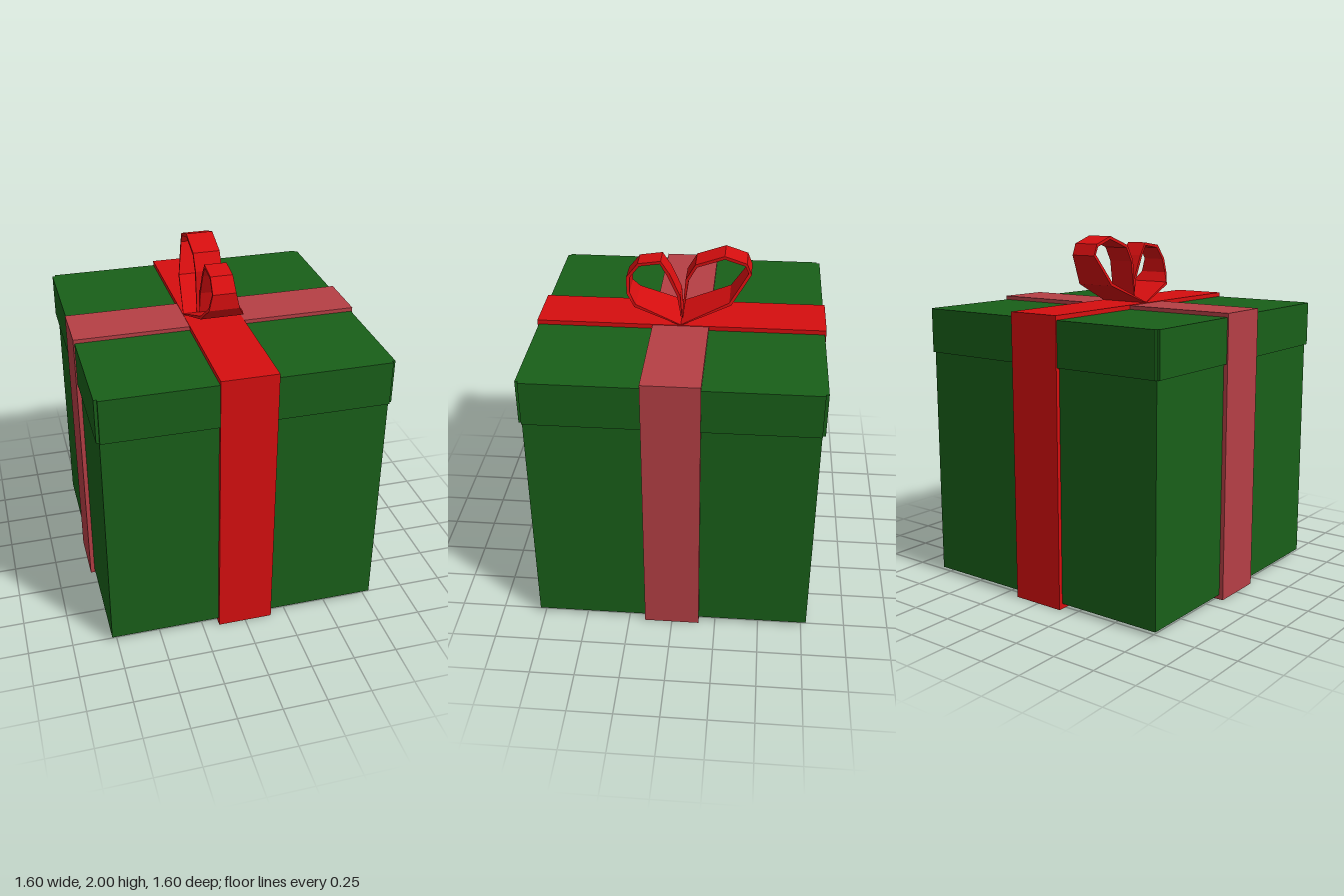
import * as THREE from 'three';

const material = (color) => new THREE.MeshStandardMaterial({ color, flatShading: true });
const green = material(0x195f19);
const red = material(0xd60e0f);
const pink = material(0xb53f45);

function rectangle(w, h, PathType = THREE.Shape) {
  return new PathType([[-w, -h], [w, -h], [w, h], [-w, h]].map(([x, y]) => new THREE.Vector2(x, y)));
}

// Closed band of ribbon around the box, in the xy plane; half sizes w and h
function ribbonBand(name, w, h, halfWidth, mat) {
  const shape = rectangle(w, h);
  shape.holes.push(rectangle(w - 0.05, h - 0.05, THREE.Path));
  const geo = new THREE.ExtrudeGeometry(shape, { depth: halfWidth * 2, bevelEnabled: false });
  geo.translate(0, 0.8075, -halfWidth);
  const mesh = new THREE.Mesh(geo, mat);
  mesh.name = name;
  return mesh;
}

// Thick strip following a loop; each point is [z, y, half width]
function bowLoop(name, points) {
  const positions = [], index = [];
  const last = points.length - 1;
  points.forEach(([z, y, w], i) => {
    const [z0, y0] = points[Math.max(i - 1, 0)];
    const [z1, y1] = points[Math.min(i + 1, last)];
    const length = Math.hypot(z1 - z0, y1 - y0);
    const t = i === 0 || i === last ? 0.005 : 0.018;
    const zi = z - (y1 - y0) / length * t;
    const yi = y + (z1 - z0) / length * t;
    positions.push(-w, y, z, w, y, z, w, yi, zi, -w, yi, zi);
    if (i === last) return;
    for (let k = 0; k < 4; k++) {
      const a = i * 4 + k, b = i * 4 + (k + 1) % 4;
      index.push(a, b, b + 4, a, b + 4, a + 4);
    }
  });
  const geo = new THREE.BufferGeometry();
  geo.setAttribute('position', new THREE.Float32BufferAttribute(positions, 3));
  geo.setIndex(index);
  geo.computeVertexNormals();
  const mesh = new THREE.Mesh(geo, red);
  mesh.name = name;
  return mesh;
}

export function createModel() {
  const group = new THREE.Group();
  group.name = 'giftBox';

  // Box body
  const body = new THREE.Mesh(new THREE.BoxGeometry(1.556, 1.4, 1.556), green);
  body.position.y = 0.73;
  body.name = 'boxBody';
  group.add(body);

  // Lid with small notches at its four corners
  const a = 0.795, b = 0.778;
  const outline = [];
  for (let i = 0; i < 4; i++) {
    for (const [x, y] of [[a, -b], [a, b], [b, b]]) {
      outline.push(new THREE.Vector2(x, y).rotateAround(new THREE.Vector2(), i * Math.PI / 2));
    }
  }
  const lidGeo = new THREE.ExtrudeGeometry(new THREE.Shape(outline), { depth: 0.25, bevelEnabled: false });
  lidGeo.rotateX(-Math.PI / 2);
  const lid = new THREE.Mesh(lidGeo, green);
  lid.position.y = 1.34;
  lid.name = 'lid';
  group.add(lid);

  // Crossing ribbons; the red one lies just over the pink one
  group.add(ribbonBand('sideRibbon', 0.802, 0.8045, 0.156, pink));
  const frontRibbon = ribbonBand('frontRibbon', 0.802, 0.8075, 0.156, red);
  frontRibbon.rotation.y = Math.PI / 2;
  group.add(frontRibbon);

  // Bow: small loop to the front, large loop to the back
  const bow = new THREE.Group();
  bow.name = 'bow';
  bow.add(bowLoop('smallBowLoop', [
    [0, 1.613, 0.155], [0.26, 1.70, 0.12], [0.307, 1.765, 0.085], [0.307, 1.855, 0.065],
    [0.244, 1.934, 0.062], [0.117, 1.953, 0.062], [0.069, 1.88, 0.062], [0.01, 1.75, 0.062], [0, 1.613, 0.062],
  ]));
  const largeLoop = bowLoop('largeBowLoop', [
    [0, 1.613, 0.155], [0.275, 1.728, 0.115], [0.381, 1.897, 0.076], [0.355, 1.96, 0.076],
    [0.233, 2.0, 0.076], [0.074, 1.945, 0.076], [0.021, 1.855, 0.076], [0, 1.613, 0.076],
  ]);
  largeLoop.rotation.y = Math.PI;
  bow.add(largeLoop);
  group.add(bow);

  return group;
}
